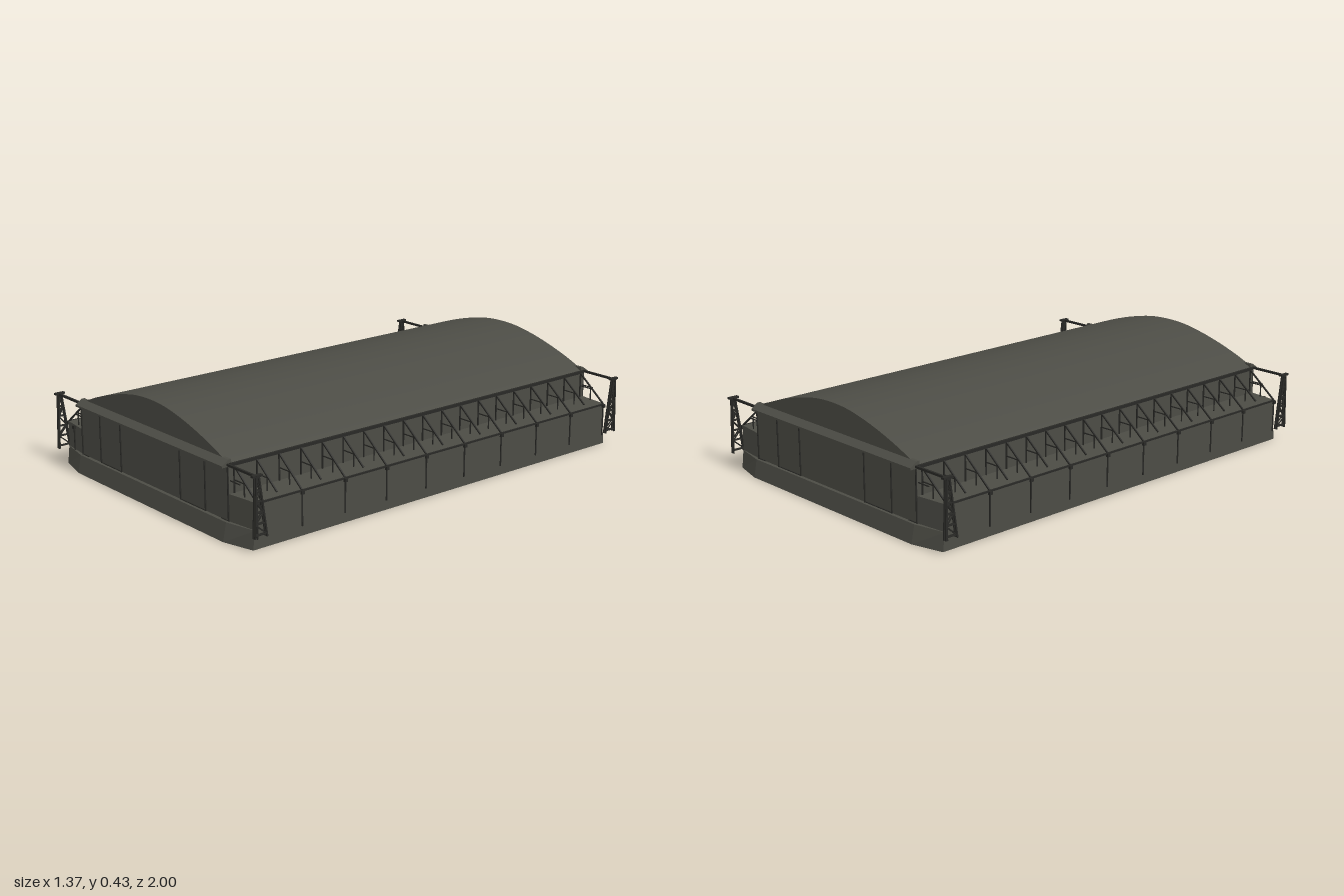
import * as THREE from 'three';
import { toCreasedNormals } from 'three/addons/utils/BufferGeometryUtils.js';

const shell = new THREE.MeshStandardMaterial({ color: 0x4c4c45 });
shell.name = 'grey green shell';
const steel = new THREE.MeshStandardMaterial({ color: 0x292926 });
steel.name = 'dark steel';

function add(parent, name, geometry, material) {
  const mesh = new THREE.Mesh(geometry, material);
  mesh.name = name;
  parent.add(mesh);
  return mesh;
}

function box(parent, name, size, pos, material = steel) {
  const mesh = add(parent, name, new THREE.BoxGeometry(...size), material);
  mesh.position.set(...pos);
  return mesh;
}

// Thin square bar between two points
function bar(parent, name, a, b, t = 0.005) {
  const p = new THREE.Vector3(...a), q = new THREE.Vector3(...b);
  const mesh = box(parent, name, [t, t, p.distanceTo(q)], p.clone().add(q).multiplyScalar(0.5).toArray());
  mesh.lookAt(q);
  return mesh;
}

// Solid through level eight-sided outlines: [y, inner x, outer x, middle z, corner z]
function loft(sections) {
  const pos = [];
  const rings = sections.map(([y, xi, xo, zm, zc]) =>
    [[xi, zm], [xo, zc], [xo, -zc], [xi, -zm], [-xi, -zm], [-xo, -zc], [-xo, zc], [-xi, zm]]
      .map(([x, z]) => [x, y, z]));
  for (let s = 0; s < rings.length - 1; s++) {
    for (let i = 0; i < 8; i++) {
      const j = (i + 1) % 8, lo = rings[s], hi = rings[s + 1];
      pos.push(...lo[i], ...lo[j], ...hi[j], ...lo[i], ...hi[j], ...hi[i]);
    }
  }
  const top = rings[rings.length - 1], bottom = rings[0];
  for (let i = 1; i < 7; i++) {
    pos.push(...top[0], ...top[i], ...top[i + 1]);
    pos.push(...bottom[0], ...bottom[i + 1], ...bottom[i]);
  }
  const g = new THREE.BufferGeometry();
  g.setAttribute('position', new THREE.Float32BufferAttribute(pos, 3));
  g.computeVertexNormals();
  return g;
}

// Vaulted roof, extruded along z
function roofGeometry() {
  const half = [[0.1, 0.424], [0.2, 0.405], [0.3, 0.378], [0.4, 0.344], [0.47, 0.315], [0.508, 0.297]];
  const profile = [...half].reverse().concat([[0, 0.43]], half.map(([x, y]) => [-x, y]));
  const shape = new THREE.Shape();
  shape.moveTo(-0.508, 0.285);
  shape.lineTo(0.508, 0.285);
  shape.lineTo(0.508, 0.297);
  shape.splineThru(profile.slice(1).map(([x, y]) => new THREE.Vector2(x, y)));
  const g = new THREE.ExtrudeGeometry(shape, { depth: 1.936, bevelEnabled: false, curveSegments: 40 });
  g.translate(0, 0, -0.968);
  return toCreasedNormals(g, 0.5);
}

// Door wall details, built for the +z end
function endWall() {
  const g = new THREE.Group();
  // Sloping lintel above the doors
  const s = new THREE.Shape();
  [[0.955, 0.288], [0.998, 0.288], [0.998, 0.296], [0.968, 0.316], [0.955, 0.316]]
    .forEach(([z, y], i) => (i ? s.lineTo(-z, y) : s.moveTo(-z, y)));
  const lintel = new THREE.ExtrudeGeometry(s, { depth: 1.01, bevelEnabled: false });
  lintel.rotateY(Math.PI / 2).translate(-0.505, 0, 0);
  add(g, 'doorLintel', lintel, shell);
  // Seams between the sliding door leaves
  for (const x of [-0.505, -0.365, -0.215, 0.197, 0.36, 0.505]) {
    box(g, 'doorSeam', [0.004, 0.212, 0.006], [x, 0.181, 0.972]);
  }
  for (const [x, w] of [[-0.485, 0.05], [-0.29, 0.15], [0.28, 0.16], [0.485, 0.05]]) {
    box(g, 'doorSill', [w, 0.003, 0.004], [x, 0.077, 0.972]);
  }
  box(g, 'doorTrack', [1.0, 0.004, 0.006], [0, 0.286, 0.972]);
  return g;
}

// Door rail outrigger with its trestle, at the +x +z corner
function outrigger() {
  const g = new THREE.Group();
  box(g, 'outriggerRail', [0.19, 0.009, 0.009], [0.592, 0.297, 0.972]);
  for (const x of [0.673, 0.683]) {
    const outer = (t) => [x, 0.06 + 0.24 * t, 0.985 - 0.008 * t];
    const inner = (t) => [x, 0.06 + 0.24 * t, 0.93 + 0.035 * t];
    bar(g, 'trestleLeg', outer(0), outer(1), 0.006);
    bar(g, 'trestleLeg', inner(0), inner(1), 0.006);
    for (let i = 0; i < 5; i++) {
      const a = 0.05 + i * 0.18, b = a + 0.18;
      bar(g, 'trestleTie', outer(a), inner(a), 0.004);
      bar(g, 'trestleBrace', i % 2 ? outer(a) : inner(a), i % 2 ? inner(b) : outer(b), 0.004);
    }
  }
  box(g, 'trestleCap', [0.016, 0.008, 0.045], [0.678, 0.3, 0.97]);
  bar(g, 'outriggerStay', [0.51, 0.235, 0.965], [0.57, 0.235, 0.965], 0.004);
  return g;
}

// Buttresses, gutters and pipes, built for the +x side
function sideFrames() {
  const g = new THREE.Group();
  box(g, 'mainGutter', [0.01, 0.012, 1.93], [0.51, 0.296, 0]);
  box(g, 'annexGutter', [0.006, 0.007, 1.9], [0.647, 0.181, 0]);
  for (let i = 0; i < 19; i++) {
    const z = -0.948 + i * 0.1053;
    const wide = i % 2 === 0;
    const reach = wide ? 0.645 : 0.63;
    bar(g, 'buttressStrut', [0.51, 0.292, z], [reach, wide ? 0.184 : 0.196, z], 0.006);
    bar(g, 'wallPost', [0.511, 0.183, z], [0.511, 0.292, z], 0.005);
    bar(g, 'buttressTie', [0.51, 0.235, z], [0.572, 0.235, z], 0.004);
    bar(g, 'buttressProp', [0.572, 0.183, z], [0.572, 0.238, z], 0.004);
    if (wide) {
      box(g, 'pipeHead', [0.01, 0.014, 0.014], [0.65, 0.174, z]);
      box(g, 'downPipe', [0.004, 0.13, 0.005], [0.647, 0.105, z]);
    }
  }
  return g;
}

export function createModel() {
  const model = new THREE.Group();
  model.name = 'hangar';

  // Main masses
  add(model, 'apron', loft([[0, 0.505, 0.643, 1, 0.965], [0.075, 0.505, 0.643, 0.985, 0.956]]), shell);
  add(model, 'annexes', loft([[0.07, 0.505, 0.645, 0.97, 0.953], [0.183, 0.505, 0.645, 0.97, 0.953]]), shell);
  box(model, 'hallWalls', [1.016, 0.12, 1.94], [0, 0.235, 0], shell);
  add(model, 'vaultedRoof', roofGeometry(), shell);

  // Matching ends and sides
  for (const turn of [0, Math.PI]) {
    const end = endWall();
    end.name = turn ? 'backDoorWall' : 'frontDoorWall';
    end.rotation.y = turn;
    const side = sideFrames();
    side.name = turn ? 'rightButtresses' : 'leftButtresses';
    side.rotation.y = turn;
    model.add(end, side);
  }

  // Four corner outriggers: the mirrored trestle is symmetric in x, so place it by reflection
  for (const sx of [1, -1]) {
    for (const sz of [1, -1]) {
      const corner = outrigger();
      corner.name = (sz > 0 ? 'front' : 'back') + (sx > 0 ? 'Left' : 'Right') + 'Outrigger';
      corner.scale.set(sx, 1, sz);
      model.add(corner);
    }
  }

  // Drain on the front of the right annex
  box(model, 'frontDrain', [0.005, 0.13, 0.005], [-0.58, 0.108, 0.965]);
  box(model, 'frontDrainHead', [0.014, 0.014, 0.012], [-0.58, 0.174, 0.965]);
  return model;
}
